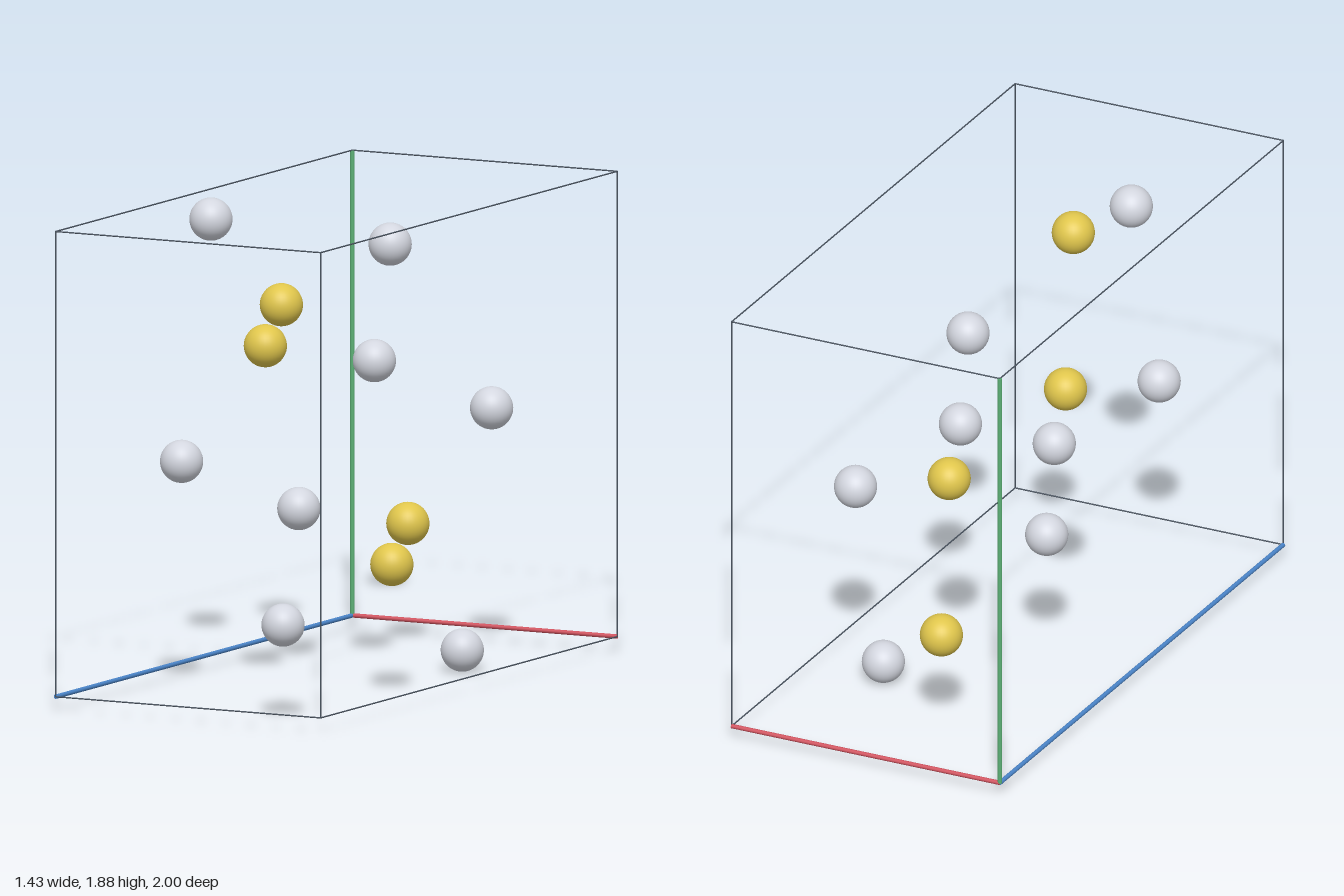
import * as THREE from 'three';

const mat = (name, color) => {
  const m = new THREE.MeshStandardMaterial({ color });
  m.name = name;
  return m;
};

// Straight rod between two points
function rod(name, a, b, radius, material) {
  const dir = b.clone().sub(a);
  const mesh = new THREE.Mesh(new THREE.CylinderGeometry(radius, radius, dir.length(), 12), material);
  mesh.position.copy(a).add(b).multiplyScalar(0.5);
  mesh.quaternion.setFromUnitVectors(new THREE.Vector3(0, 1, 0), dir.normalize());
  mesh.name = name;
  return mesh;
}

export function createModel() {
  const model = new THREE.Group();
  model.name = 'crystalUnitCell';
  const silver = mat('silver', 0xd3d6df);
  const gold = mat('gold', 0xe0c64c);
  const slate = mat('slate', 0x48525e);
  const red = mat('red', 0xd0525e);
  const green = mat('green', 0x5cb075);
  const blue = mat('blue', 0x4a84c8);

  // Cell origin and its three edge vectors
  const origin = new THREE.Vector3(-0.372, 0.058, -0.9915);
  const axes = [
    { name: 'axisA', v: new THREE.Vector3(1.084, 0, 0), material: red },
    { name: 'axisB', v: new THREE.Vector3(0, 1.77, 0), material: green },
    { name: 'axisC', v: new THREE.Vector3(-0.335, 0, 1.989), material: blue },
  ];

  // Four parallel edges per direction; the one at the origin is a coloured axis
  axes.forEach((axis, i) => {
    const u = axes[(i + 1) % 3].v, w = axes[(i + 2) % 3].v;
    for (const s of [0, 1]) for (const t of [0, 1]) {
      const start = origin.clone().addScaledVector(u, s).addScaledVector(w, t);
      const end = start.clone().add(axis.v);
      const main = s + t === 0;
      model.add(rod(main ? axis.name : 'cellEdge', start, end, main ? 0.0085 : 0.0027, main ? axis.material : slate));
    }
  });

  // Atoms, each paired with its mirror through the cell centre
  const centre = new THREE.Vector3(0.003, 0.941, 0.003);
  const ball = new THREE.SphereGeometry(0.081, 32, 24);
  const atoms = {
    silverAtom: [silver, [[-0.344, 0.859, 0.385], [-0.163, 0.567, -0.865], [0.212, 0.319, 0.13], [0.366, 0.027, -0.607]]],
    goldAtom: [gold, [[-0.343, 0.424, -0.265], [0.031, 0.463, 0.73]]],
  };
  for (const [name, [material, points]] of Object.entries(atoms)) {
    for (const p of points) for (const s of [1, -1]) {
      const atom = new THREE.Mesh(ball, material);
      atom.position.fromArray(p).multiplyScalar(s).add(centre);
      atom.name = name;
      model.add(atom);
    }
  }
  return model;
}
